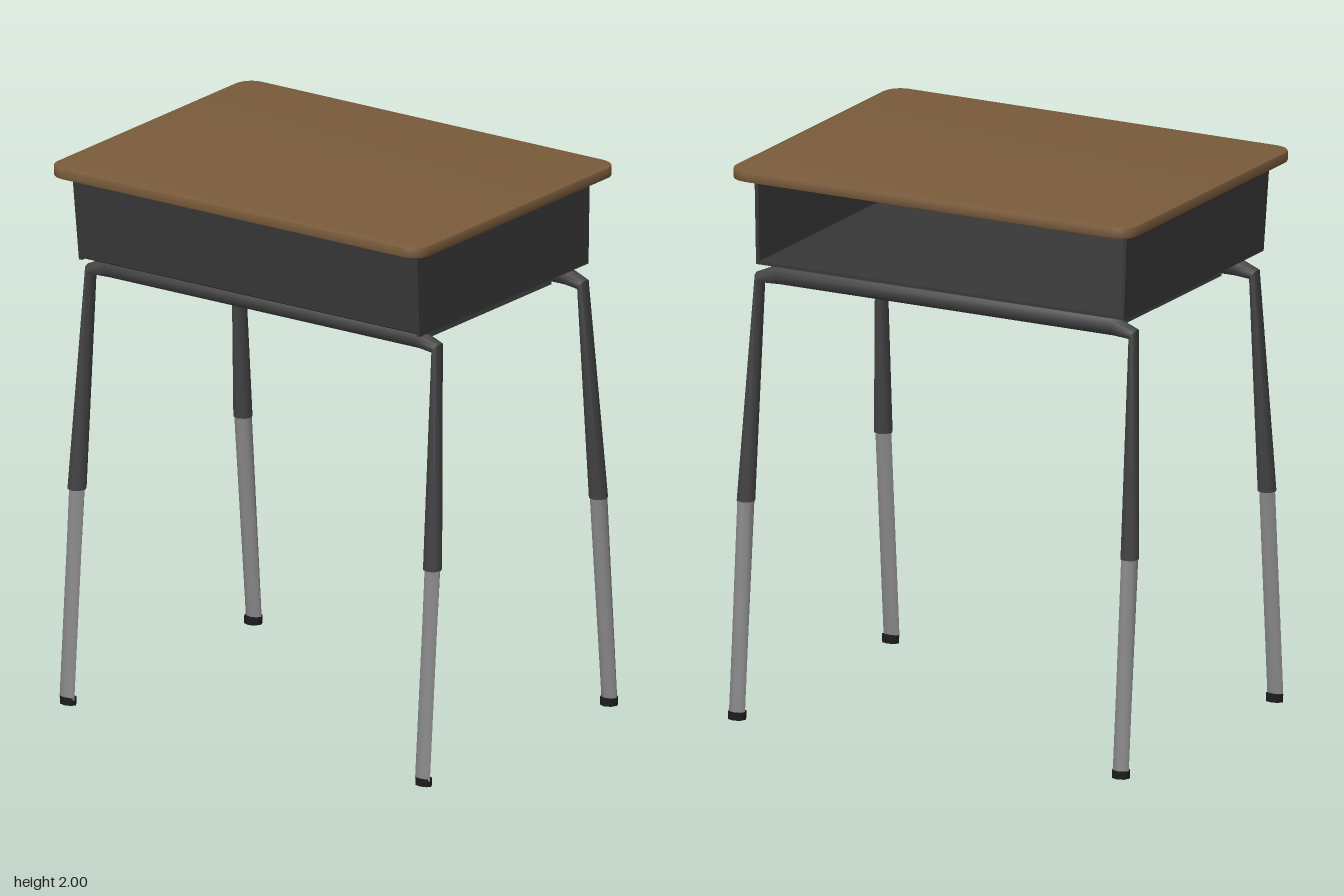
import * as THREE from 'three';
import { toCreasedNormals } from 'three/addons/utils/BufferGeometryUtils.js';

const mat = (name, color) => Object.assign(new THREE.MeshStandardMaterial({ color }), { name });

// Skin a row of elliptical rings; each ring = { c: centre, u, v: half axes }.
function loft(rings, sides = 8) {
  const pos = [], idx = [];
  for (const { c, u, v } of rings) {
    for (let i = 0; i < sides; i++) {
      const a = (i / sides) * Math.PI * 2, s = Math.cos(a), t = Math.sin(a);
      pos.push(...[0, 1, 2].map(k => c[k] + u[k] * s + v[k] * t));
    }
  }
  for (let r = 0; r < rings.length - 1; r++) {
    for (let i = 0; i < sides; i++) {
      const a = r * sides + i, b = r * sides + (i + 1) % sides;
      idx.push(a, b, a + sides, b, b + sides, a + sides);
    }
  }
  const last = (rings.length - 1) * sides;
  for (let i = 1; i < sides - 1; i++) {
    idx.push(0, i + 1, i, last, last + i, last + i + 1);
  }
  const g = new THREE.BufferGeometry();
  g.setAttribute('position', new THREE.Float32BufferAttribute(pos, 3));
  g.setIndex(idx);
  return toCreasedNormals(g, 0.9);
}

// Extrude a [z, y] outline along x, centred on x = 0.
function extrudeAcross(points, width) {
  const shape = new THREE.Shape(points.map(([z, y]) => new THREE.Vector2(-z, y)));
  const g = new THREE.ExtrudeGeometry(shape, { depth: width, bevelEnabled: false });
  return g.rotateY(Math.PI / 2).translate(-width / 2, 0, 0);
}

function roundedRect(x0, y0, x1, y1, r) {
  const s = new THREE.Shape();
  s.absarc(x1 - r, y1 - r, r, 0, Math.PI / 2);
  s.absarc(x0 + r, y1 - r, r, Math.PI / 2, Math.PI);
  s.absarc(x0 + r, y0 + r, r, Math.PI, Math.PI * 1.5);
  s.absarc(x1 - r, y0 + r, r, Math.PI * 1.5, Math.PI * 2);
  s.closePath();
  return s;
}

export function createModel() {
  const wood = mat('wood', 0x7a5b3b);
  const trayMetal = mat('dark tray metal', 0x383838);
  const frameMetal = mat('dark frame metal', 0x434343);
  const legMetal = mat('grey leg metal', 0x8a8a8a);
  const rubber = mat('black rubber', 0x1c1c1c);
  trayMetal.side = frameMetal.side = legMetal.side = THREE.DoubleSide;

  const model = new THREE.Group();
  model.name = 'schoolDesk';
  const add = (name, geometry, material, parent = model) => {
    const m = new THREE.Mesh(geometry, material);
    m.name = name;
    parent.add(m);
    return m;
  };

  // Desk top with rounded corners
  const top = new THREE.ExtrudeGeometry(roundedRect(-0.805, -0.59, 0.805, 0.61, 0.07), {
    depth: 0.028, bevelThickness: 0.006, bevelSize: 0.006, bevelOffset: -0.006,
    bevelSegments: 2, curveSegments: 8,
  });
  top.rotateX(Math.PI / 2).translate(0, 1.994, 0);
  add('deskTop', toCreasedNormals(top, 0.6), wood);

  // Book tray: floor and sloping front in one bent sheet, open at the back
  const tray = new THREE.Group();
  tray.name = 'bookTray';
  model.add(tray);
  add('trayFloorAndFront', extrudeAcross([
    [-0.5, 1.64], [0.49, 1.64], [0.508, 1.65], [0.535, 1.96],
    [0.523, 1.96], [0.497, 1.66], [0.485, 1.652], [-0.5, 1.652],
  ], 1.465), trayMetal, tray);
  for (const s of [1, -1]) {
    const side = add('traySide', extrudeAcross(
      [[-0.5, 0], [0.508, 0], [0.535, 0.32], [-0.495, 0.32]], 0.014), trayMetal, tray);
    side.position.set(s * 0.729, 1.64, 0);
    side.rotation.z = -s * 0.028;
  }

  // Rails under the tray
  for (const s of [1, -1]) {
    const rail = add('sideRail', new THREE.BoxGeometry(0.06, 0.075, 0.82), frameMetal);
    rail.position.set(s * 0.6, 1.6, -0.015);
  }

  // Front and back leg frames: a cross bar bent down into two sleeves
  const frames = [
    { name: 'front', top: 0.42, mid: 0.475, low: 0.535, foot: 0.528, depth: [0.022, 0.012], footDepth: 0.045 },
    { name: 'back', top: -0.45, mid: -0.515, low: -0.58, foot: -0.578, depth: [0.03, 0.022], footDepth: 0.062 },
  ];
  for (const f of frames) {
    const half = s => [
      { c: [s * 0.768, 0.78, f.mid], u: [s * 0.034, 0, 0], v: [0, 0, 0.034] },
      { c: [s * 0.748, 1.578, f.top], u: [s * 0.0135, 0.018, 0], v: [0, 0, 0.03] },
      { c: [s * 0.67, 1.6, f.top], u: [0, 0.037, 0], v: [0, 0, 0.03] },
    ];
    add(f.name + 'LegFrame', loft([...half(-1), ...half(1).reverse()]), frameMetal);

    for (const s of [1, -1]) {
      // Adjustable lower tube
      add(f.name + 'LowerLeg', loft([
        { c: [s * 0.768, 0.02, f.low], u: [0, 0, f.depth[1]], v: [0.032, 0, 0] },
        { c: [s * 0.768, 0.79, f.mid], u: [0, 0, f.depth[0]], v: [0.032, 0, 0] },
      ]), legMetal);
      // Foot cap
      const foot = add(f.name + 'Foot', new THREE.CylinderGeometry(0.5, 0.5, 0.028, 8), rubber);
      foot.scale.set(0.068, 1, f.footDepth);
      foot.position.set(s * 0.768, 0.014, f.foot);
    }
  }
  return model;
}
